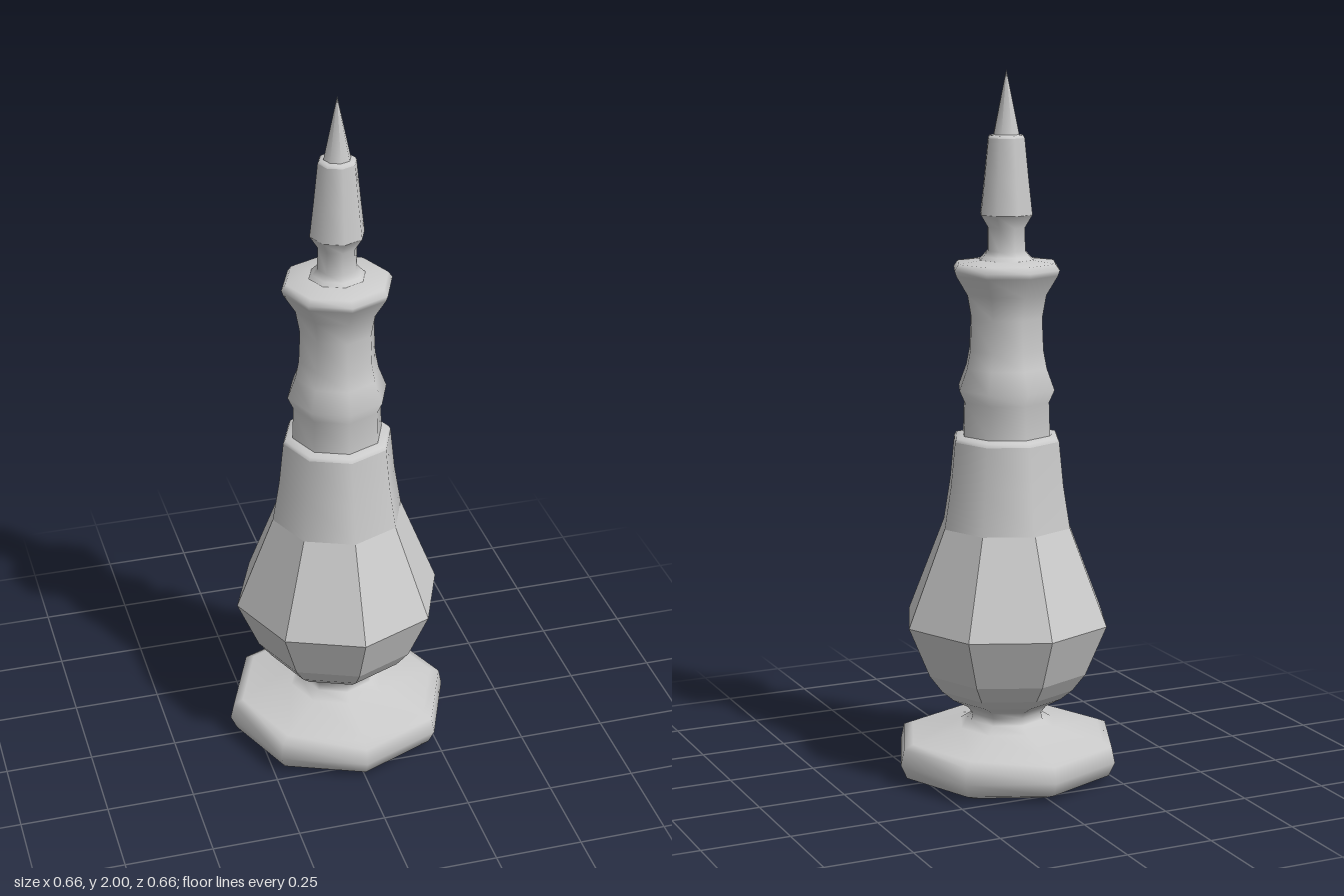
import * as THREE from 'three';

const SIDES = 8;
const smooth = new THREE.MeshStandardMaterial({ color: 0xcccccc });
const faceted = new THREE.MeshStandardMaterial({ color: 0xcccccc, flatShading: true });

// Octagonal turned section; profile is [radius, height] from bottom to top.
function turned(name, profile, material = smooth) {
  const points = profile.map(([r, y]) => new THREE.Vector2(r, y));
  const mesh = new THREE.Mesh(new THREE.LatheGeometry(points, SIDES), material);
  mesh.name = name;
  return mesh;
}

export function createModel() {
  const group = new THREE.Group();
  group.name = 'turnedSpire';
  group.add(
    // Foot
    turned('footUnderside', [[0, 0], [0.26, 0]], faceted),
    turned('foot', [
      [0.26, 0], [0.31, 0.02], [0.328, 0.06], [0.318, 0.105], [0.29, 0.117],
      [0.14, 0.145], [0.11, 0.165], [0.105, 0.185], [0.12, 0.205], [0.165, 0.23],
    ]),
    // Faceted bulb
    turned('bulb', [[0.165, 0.23], [0.2, 0.26], [0.238, 0.31], [0.3, 0.455], [0.19, 0.73]], faceted),
    // Tapered body with its ledge
    turned('body', [[0.19, 0.73], [0.17, 0.85], [0.157, 0.975]]),
    turned('bodyLedge', [[0.157, 0.975], [0.152, 0.985], [0.13, 0.99]]),
    // Ringed neck flaring into a collar
    turned('neck', [
      [0.13, 0.99], [0.127, 1.085], [0.143, 1.12], [0.12, 1.18], [0.11, 1.23],
      [0.106, 1.32], [0.118, 1.385], [0.152, 1.44], [0.157, 1.455], [0.145, 1.472], [0.08, 1.48],
    ]),
    // Finial
    turned('finialStem', [[0.08, 1.48], [0.07, 1.49], [0.056, 1.505], [0.055, 1.57], [0.077, 1.605]]),
    turned('finialShaft', [[0.077, 1.605], [0.066, 1.7], [0.054, 1.815]]),
    turned('finialLedge', [[0.054, 1.815], [0.05, 1.822], [0.038, 1.824]]),
    turned('tip', [[0.038, 1.824], [0, 2]]),
  );
  return group;
}
